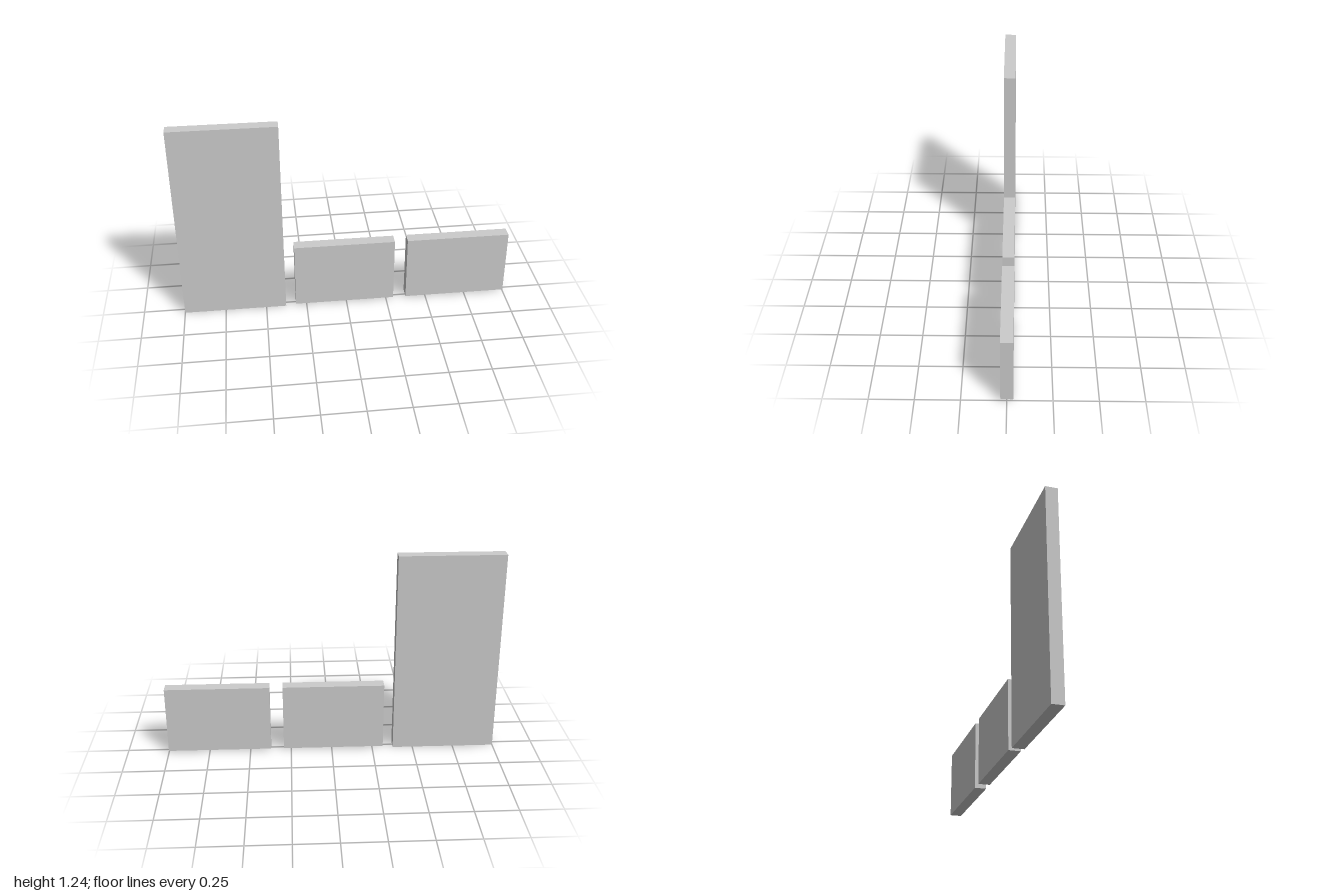
import * as THREE from 'three';

const DEPTH = 0.07;

// Upright slabs: [name, x from, x to, y from, y to]
const PANELS = [
  ['tallPanel', -1, -0.378, 0, 1.236],
  ['middleLowPanel', -0.316, 0.295, 0.01, 0.426],
  ['endLowPanel', 0.374, 1, 0.01, 0.426],
];

export function createModel() {
  const group = new THREE.Group();
  group.name = 'panelRow';
  const material = new THREE.MeshStandardMaterial({ color: 0xcccccc });

  for (const [name, x0, x1, y0, y1] of PANELS) {
    const panel = new THREE.Mesh(new THREE.BoxGeometry(x1 - x0, y1 - y0, DEPTH), material);
    panel.name = name;
    panel.position.set((x0 + x1) / 2, (y0 + y1) / 2, 0);
    group.add(panel);
  }
  return group;
}
